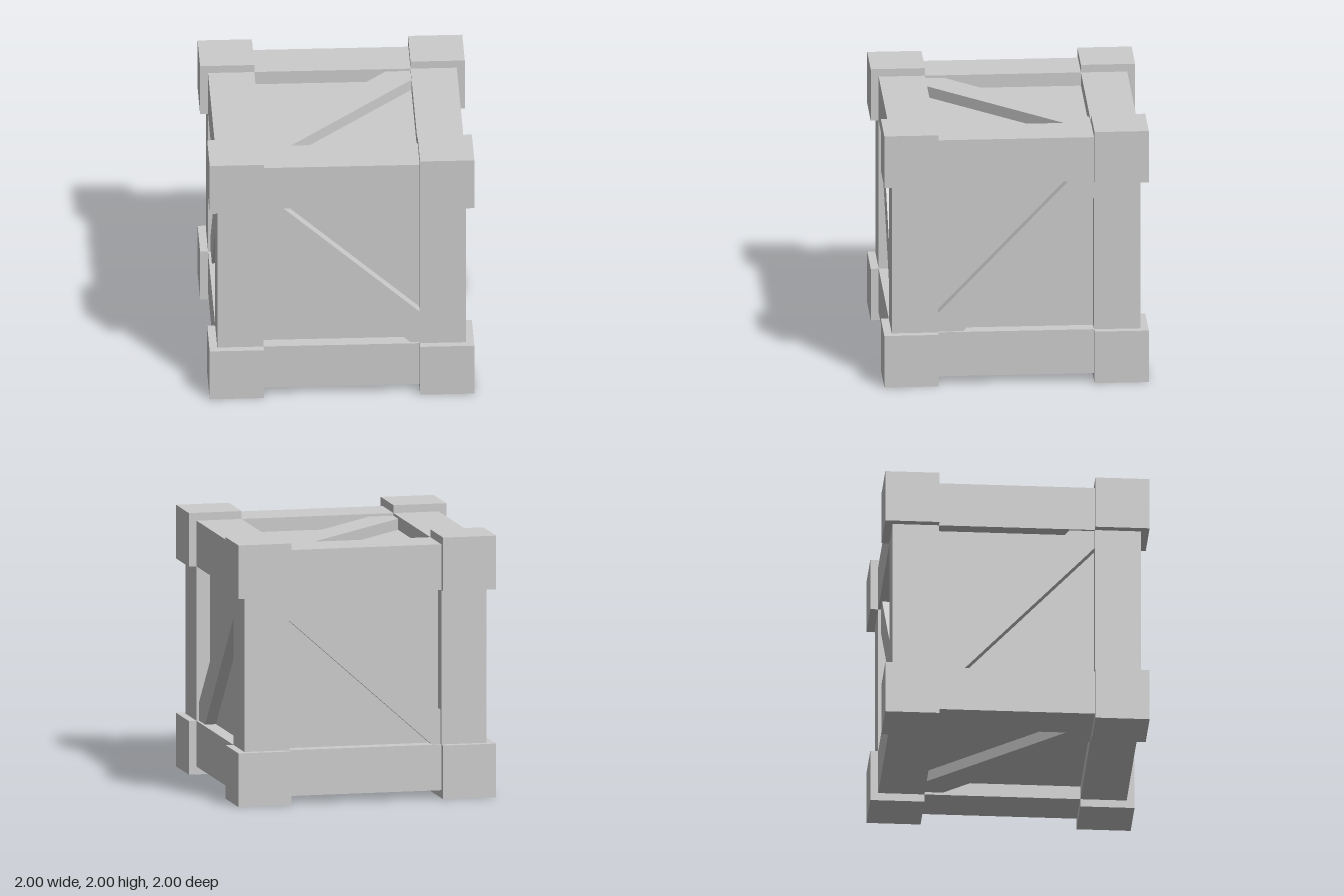
import * as THREE from 'three';

const INNER = 0.59, BEAM = 0.94, PANEL = 0.835, BRACE = 0.92;

export function createModel() {
  const crate = new THREE.Group();
  crate.name = 'crate';
  const material = new THREE.MeshStandardMaterial({ color: 0xcccccc, flatShading: true });

  const add = (name, geometry, parent = crate) => {
    const mesh = new THREE.Mesh(geometry, material);
    mesh.name = name;
    parent.add(mesh);
    return mesh;
  };

  // Recessed side panels, as one closed core
  add('panels', new THREE.BoxGeometry(2 * PANEL, 2 * PANEL, 2 * PANEL)).position.y = 1;

  // Corner blocks
  const blockSize = 1 - INNER, blockAt = (1 + INNER) / 2;
  const block = new THREE.BoxGeometry(blockSize, blockSize, blockSize);
  for (const x of [-1, 1]) for (const y of [-1, 1]) for (const z of [-1, 1]) {
    add('cornerBlock', block).position.set(x * blockAt, 1 + y * blockAt, z * blockAt);
  }

  // Frame beams along the twelve edges
  const thick = BEAM - INNER, beamAt = (BEAM + INNER) / 2;
  ['x', 'y', 'z'].forEach((axis, i) => {
    const size = [thick, thick, thick];
    size[i] = 2 * INNER;
    const beam = new THREE.BoxGeometry(...size);
    for (const a of [-1, 1]) for (const b of [-1, 1]) {
      const p = [0, 0, 0];
      p[(i + 1) % 3] = a * beamAt;
      p[(i + 2) % 3] = b * beamAt;
      add(axis === 'y' ? 'post' : 'rail', beam).position.set(p[0], p[1] + 1, p[2]);
    }
  });

  // Diagonal braces: outlines on a face, trimmed by the frame
  const braceGeometry = (points) => {
    const shape = new THREE.Shape(points.map(([x, y]) => new THREE.Vector2(x, y)));
    return new THREE.ExtrudeGeometry(shape, { depth: BRACE - PANEL + 0.02, bevelEnabled: false })
      .translate(0, 0, PANEL - 0.02);
  };
  const n = INNER;
  const falling = [[-n, n], [-n, 0.4], [0.52, -n], [n, -n], [n, -0.33], [-0.45, n]];
  const rising = [[-n, -n], [-0.4, -n], [n, 0.45], [n, n], [0.4, n], [-n, -0.445]];
  const faces = [
    ['frontBrace', falling, 0, 0],
    ['backBrace', falling, 0, Math.PI],
    ['rightBrace', rising, 0, Math.PI / 2],
    ['leftBrace', rising, 0, -Math.PI / 2],
    ['topBrace', rising, -Math.PI / 2, 0],
    ['bottomBrace', rising.map(([x, y]) => [x, -y]), Math.PI / 2, 0],
  ];
  for (const [name, outline, rx, ry] of faces) {
    const brace = add(name, braceGeometry(outline));
    brace.rotation.set(rx, ry, 0);
    brace.position.y = 1;
  }
  return crate;
}
